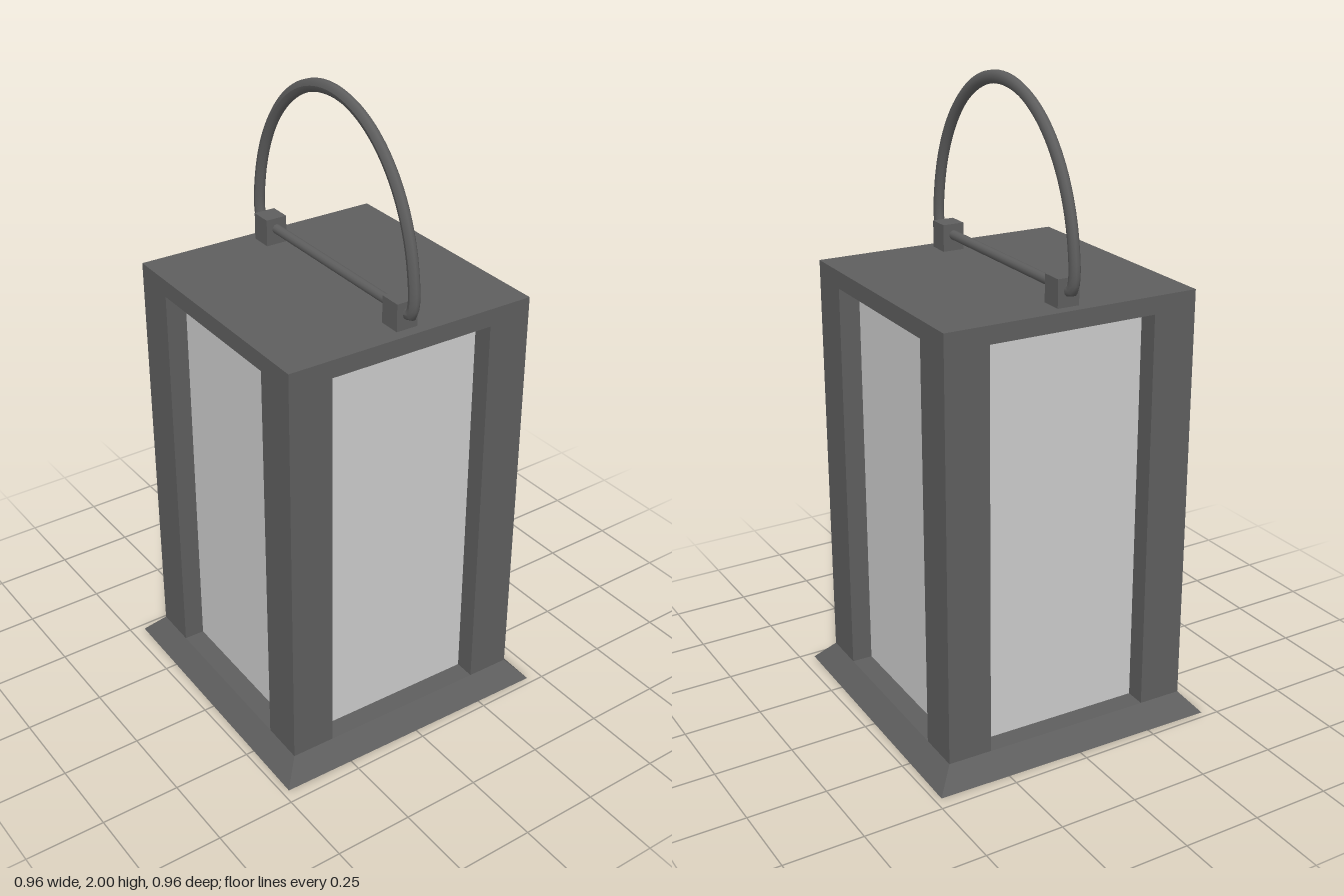
import * as THREE from 'three';

export function createModel() {
  const lantern = new THREE.Group();
  lantern.name = 'lantern';
  const metal = new THREE.MeshStandardMaterial({ color: 0x5e5e5e });
  const metalFlat = new THREE.MeshStandardMaterial({ color: 0x5e5e5e, flatShading: true });
  const glass = new THREE.MeshStandardMaterial({ color: 0xcccccc });

  const add = (name, geometry, material, x, y, z) => {
    const mesh = new THREE.Mesh(geometry, material);
    mesh.name = name;
    mesh.position.set(x, y, z);
    lantern.add(mesh);
    return mesh;
  };
  // Box given by its size, bottom height and centre in plan
  const box = (name, w, h, d, x, bottom, z, material = metal) =>
    add(name, new THREE.BoxGeometry(w, h, d), material, x, bottom + h / 2, z);

  const half = 0.41, post = 0.14, recess = 0.066;
  const baseTop = 0.065, headerBottom = 1.345, top = 1.4;

  // Flared square base
  const base = new THREE.CylinderGeometry(half * Math.SQRT2, 0.467 * Math.SQRT2, baseTop, 4);
  base.rotateY(Math.PI / 4);
  add('base', base, metalFlat, 0, baseTop / 2, 0);

  // Corner posts
  const c = half - post / 2;
  for (const x of [-c, c])
    for (const z of [-c, c])
      box('cornerPost', post, headerBottom - baseTop, post, x, baseTop, z);

  // Recessed panes: one per side, set behind the posts
  for (let i = 0; i < 4; i++) {
    const a = i * Math.PI / 2, r = half - recess - 0.01;
    const pane = box('pane', 2 * (half - post), headerBottom - baseTop, 0.02,
      Math.sin(a) * r, baseTop, Math.cos(a) * r, glass);
    pane.rotation.y = a;
  }

  // Roof slab
  box('roof', 2 * half, top - headerBottom, 2 * half, 0, headerBottom, 0);

  // Handle brackets and the rod between them
  for (const x of [-0.34, 0.34]) box('handleBracket', 0.07, 0.085, 0.07, x, top, 0);
  const rod = new THREE.CylinderGeometry(0.015, 0.015, 0.68, 12);
  rod.rotateZ(Math.PI / 2);
  add('rod', rod, metal, 0, 1.45, 0);

  // Arched handle, hooked inward into the brackets
  const points = [new THREE.Vector3(0.35, 1.45, 0), new THREE.Vector3(0.39, 1.451, 0)];
  const steps = 16;
  for (let i = 0; i <= steps; i++) {
    const a = Math.PI * i / steps;
    points.push(new THREE.Vector3(0.403 * Math.cos(a), 1.49 + 0.49 * Math.sin(a), 0));
  }
  points.push(new THREE.Vector3(-0.39, 1.451, 0), new THREE.Vector3(-0.35, 1.45, 0));
  const handle = new THREE.TubeGeometry(new THREE.CatmullRomCurve3(points), 72, 0.02, 10);
  handle.scale(1, 1, 0.78);
  handle.computeVertexNormals();
  add('handle', handle, metal, 0, 0, 0);

  // Whole lantern stands slightly turned
  lantern.rotation.y = -0.0245;
  const model = new THREE.Group();
  model.name = 'model';
  model.add(lantern);
  return model;
}
